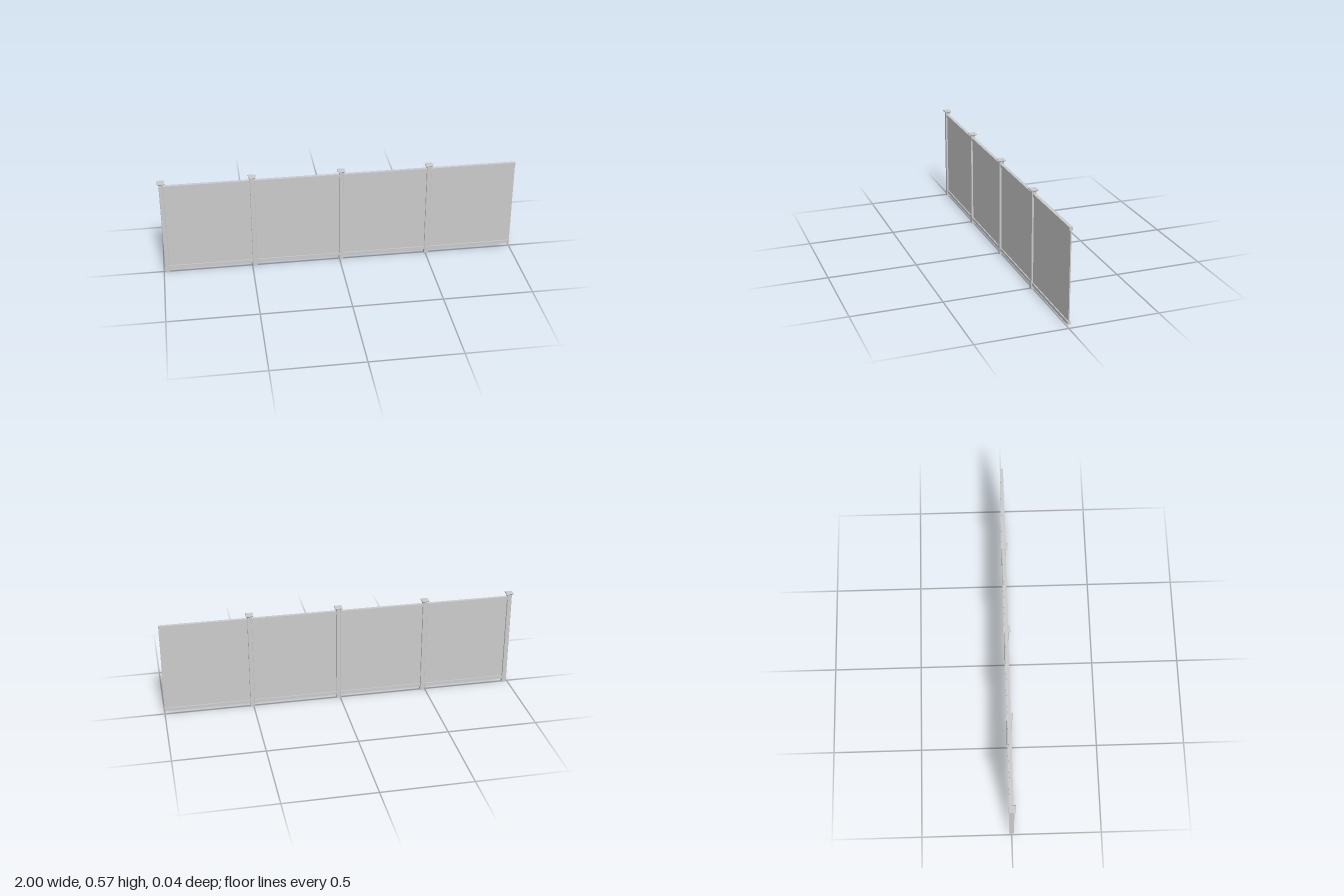
import * as THREE from 'three';

export function createModel() {
  const group = new THREE.Group();
  group.name = 'fence';
  const mat = new THREE.MeshStandardMaterial({ color: 0xcccccc, flatShading: true });
  const add = (name, geo, x, y, z = 0) => {
    const mesh = new THREE.Mesh(geo, mat);
    mesh.name = name;
    mesh.position.set(x, y, z);
    group.add(mesh);
  };

  // square post with slightly chamfered corners
  const h = 0.0125, c = 0.002, postHeight = 0.562;
  const outline = [[h, -h + c], [h, h - c], [h - c, h], [-h + c, h], [-h, h - c], [-h, -h + c], [-h + c, -h], [h - c, -h]];
  const postShape = new THREE.Shape(outline.map(([x, y]) => new THREE.Vector2(x, y)));
  const postGeo = new THREE.ExtrudeGeometry(postShape, { depth: postHeight, bevelEnabled: false });
  postGeo.rotateX(-Math.PI / 2);

  // square cap: flared underside, plate and small top bevel
  const capProfile = [[0, 0.559], [0.014, 0.559], [0.0205, 0.564], [0.0205, 0.568], [0.019, 0.57], [0, 0.57]];
  const capGeo = new THREE.LatheGeometry(capProfile.map(([r, y]) => new THREE.Vector2(r * Math.SQRT2, y)), 4);
  capGeo.rotateY(Math.PI / 4);

  const spacing = 0.495, firstPost = -0.9795;
  for (let i = 0; i < 4; i++) {
    const x = firstPost + i * spacing;
    add('post', postGeo, x, 0);
    add('postCap', capGeo, x, 0);

    // bay to the left of each post: infill panel between two rails
    const length = i < 3 ? spacing : 1 - x;
    const mid = x + length / 2;
    add('panel', new THREE.BoxGeometry(length, 0.51, 0.006), mid, 0.284);
    const rail = new THREE.BoxGeometry(length, 0.018, 0.018);
    add('topRail', rail, mid, 0.537);
    add('bottomRail', rail, mid, 0.031);
  }
  return group;
}
